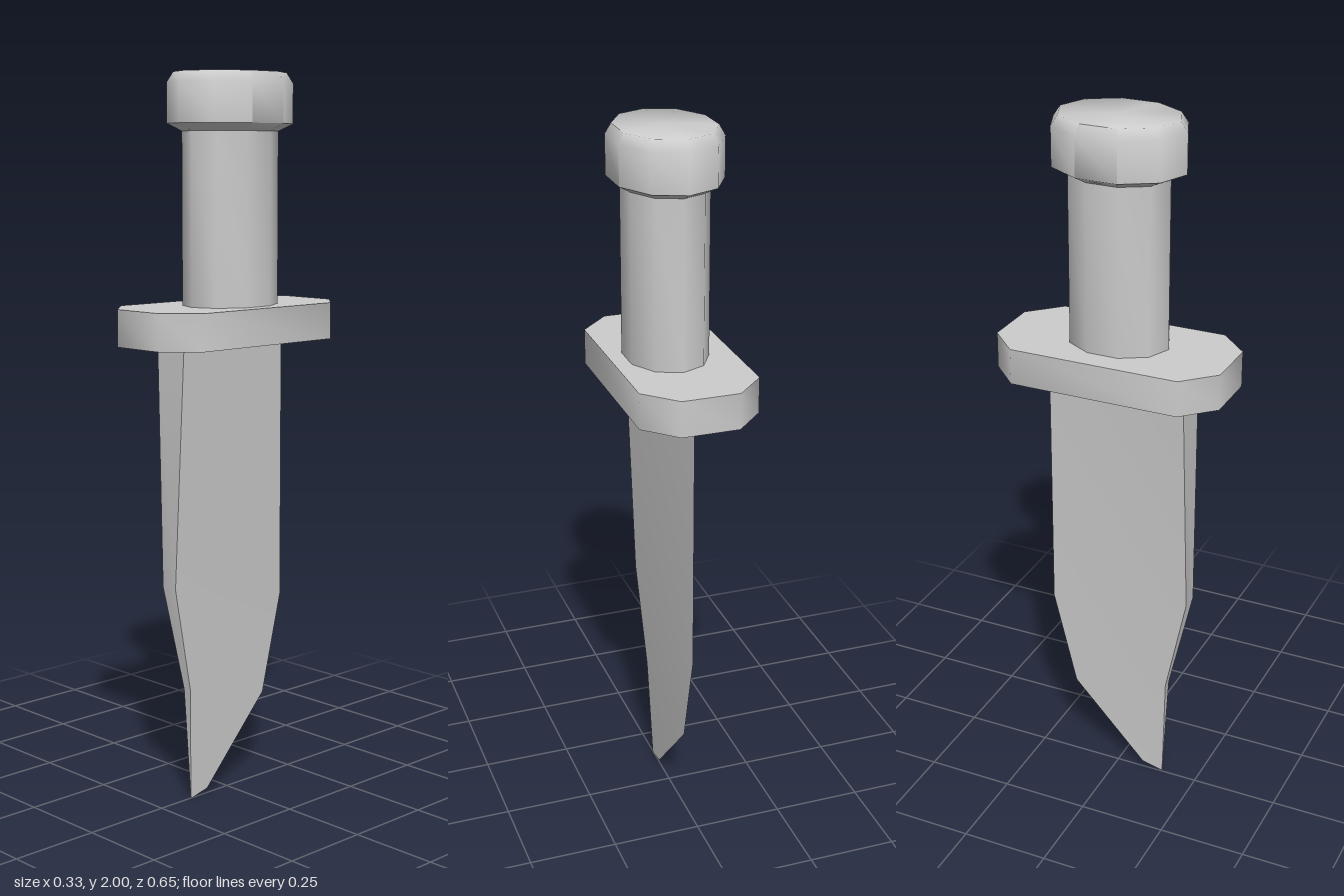
import * as THREE from 'three';
import { toCreasedNormals } from 'three/addons/utils/BufferGeometryUtils.js';

const material = new THREE.MeshStandardMaterial({ color: 0xcccccc });

function part(name, geometry, crease) {
  const mesh = new THREE.Mesh(toCreasedNormals(geometry, crease), material);
  mesh.name = name;
  return mesh;
}

// Ten-sided oval turning from [radius along z, y] points
function ovalTurning(points) {
  const geometry = new THREE.LatheGeometry(points.map(([r, y]) => new THREE.Vector2(r, y)), 10);
  geometry.scale(0.797, 1, 1);
  geometry.translate(0.0115, 0, -0.002);
  return geometry;
}

// Wedge blade: thick spine towards +z, sharp edge towards -z, thinning to the tip
function bladeGeometry() {
  const spine = [[0.21, 1.28], [0.22, 0.62], [0.155, 0.32], [0.143, 0]];
  const edge = [[-0.21, 1.28], [-0.21, 0.53], [-0.14, 0.25], [0.08, 0.015]];
  const cx = 0.003;
  const positions = [];
  const index = [0, 1, 2];
  spine.forEach(([z, y], i) => {
    const half = 0.052 * y / 1.28;
    positions.push(cx - half, y, z, cx + half, y, z, cx, edge[i][1], edge[i][0]);
    if (i === 0) return;
    const a = (i - 1) * 3, b = i * 3;
    for (let k = 0; k < 3; k++) {
      const n = (k + 1) % 3;
      index.push(a + k, b + k, b + n, a + k, b + n, a + n);
    }
  });
  const geometry = new THREE.BufferGeometry();
  geometry.setAttribute('position', new THREE.Float32BufferAttribute(positions, 3));
  geometry.setIndex(index);
  return geometry;
}

// Octagonal plate with clipped corners
function guardGeometry() {
  const corners = [[0.08, 0.324], [0.164, 0.24]];
  const [a, b] = corners;
  const outline = [
    [b[0], -b[1]], [b[0], b[1]], [a[0], a[1]], [-a[0], a[1]],
    [-b[0], b[1]], [-b[0], -b[1]], [-a[0], -a[1]], [a[0], -a[1]],
  ];
  const shape = new THREE.Shape(outline.map(([x, z]) => new THREE.Vector2(x, z)));
  const geometry = new THREE.ExtrudeGeometry(shape, { depth: 0.1, bevelEnabled: false });
  geometry.rotateX(-Math.PI / 2);
  geometry.translate(0, 1.28, 0);
  return geometry;
}

export function createModel() {
  const dagger = new THREE.Group();
  dagger.name = 'dagger';

  dagger.add(part('blade', bladeGeometry(), 0.5));
  dagger.add(part('guard', guardGeometry(), 0.9));
  dagger.add(part('grip', ovalTurning([[0.143, 1.37], [0.143, 1.86]]), 1));
  // Pommel with bevelled rim and undercut
  dagger.add(part('pommel', ovalTurning([
    [0, 1.845], [0.143, 1.845], [0.187, 1.865], [0.187, 1.972], [0.167, 2], [0, 2],
  ]), 1.05));

  return dagger;
}
